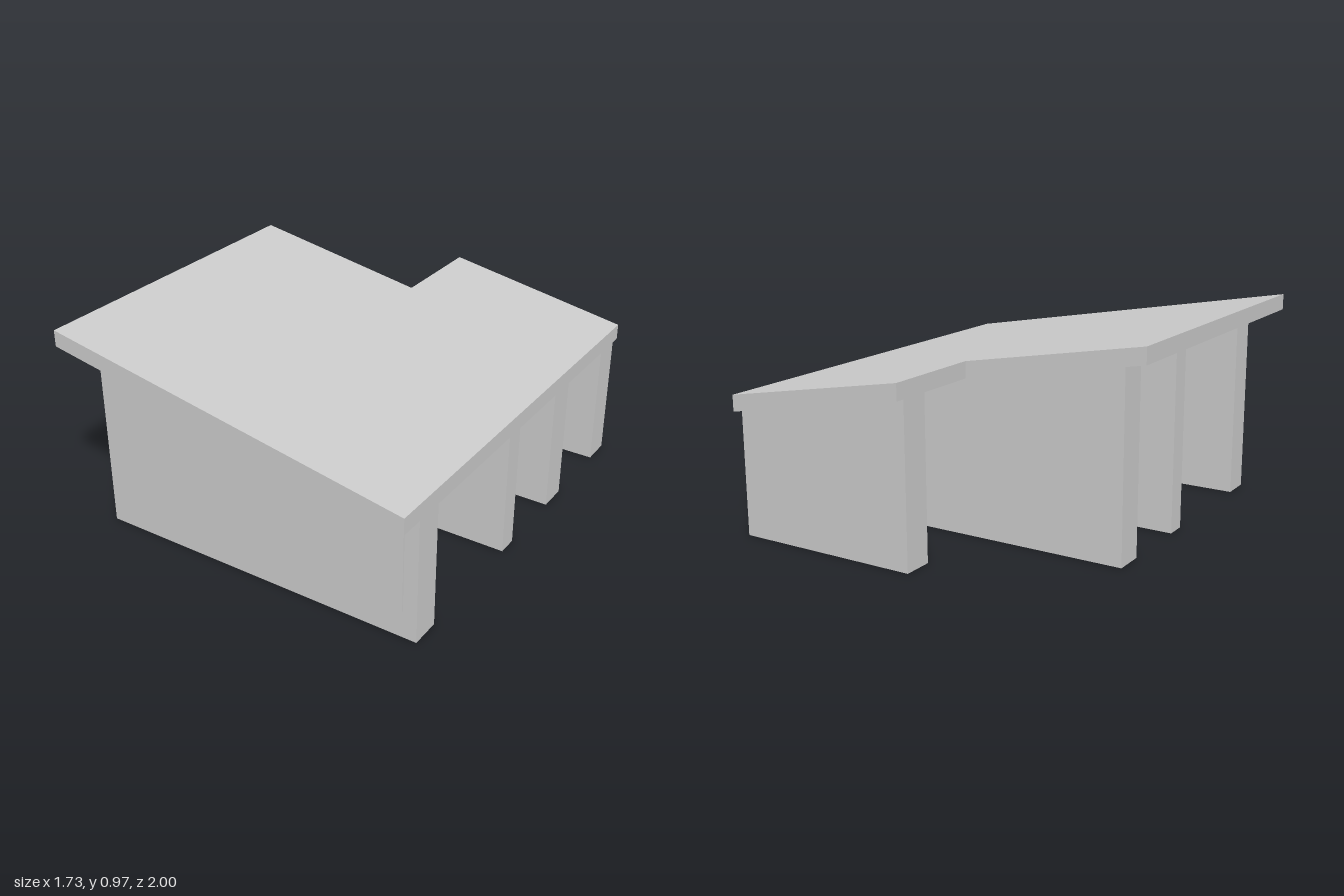
import * as THREE from 'three';

const material = new THREE.MeshStandardMaterial({ color: 0xcccccc, flatShading: true, side: THREE.DoubleSide });

const EDGE = 0.865;      // half width of the roof
const THICK = 0.075;     // vertical thickness of the roof
const roofTop = (x) => 0.81 - 0.1792 * x;
const roofUnder = (x) => roofTop(x) - THICK;

function addMesh(group, geometry, name) {
  const mesh = new THREE.Mesh(geometry, material);
  mesh.name = name;
  group.add(mesh);
}

// L-shaped slab, sheared so that it falls towards +x
function roofGeometry() {
  const shape = new THREE.Shape([
    [-EDGE, -1], [EDGE, -1], [EDGE, 1], [-0.02, 1], [-0.02, 0.52], [-EDGE, 0.52],
  ].map(([x, y]) => new THREE.Vector2(x, y)));
  const geometry = new THREE.ExtrudeGeometry(shape, { depth: THICK, bevelEnabled: false });
  geometry.rotateX(-Math.PI / 2);
  const p = geometry.attributes.position;
  for (let i = 0; i < p.count; i++) p.setY(i, p.getY(i) + roofUnder(p.getX(i)));
  geometry.computeVertexNormals();
  return geometry;
}

// Hollow wall, open below, with its top edge following the roof underside
function wallGeometry(x0, x1, z0, z1) {
  const geometry = new THREE.BoxGeometry(x1 - x0, 1, z1 - z0);
  geometry.translate((x0 + x1) / 2, 0.5, (z0 + z1) / 2);
  const p = geometry.attributes.position;
  for (let i = 0; i < p.count; i++) p.setY(i, p.getY(i) * roofUnder(p.getX(i)));
  // keep the four sides, drop the top and bottom faces
  const index = Array.from(geometry.index.array);
  geometry.setIndex([...index.slice(0, 12), ...index.slice(24)]);
  geometry.clearGroups();
  geometry.computeVertexNormals();
  return geometry;
}

export function createModel() {
  const model = new THREE.Group();
  model.name = 'shelter';

  addMesh(model, roofGeometry(), 'roof');

  // Parallel walls from front to back; the last one sits under the narrow part
  const walls = [
    ['frontWall', -0.735, 0.745, 0.885],
    ['middleWall', -0.735, 0.05, 0.145],
    ['rearWall', -0.735, -0.44, -0.3],
    ['backWall', -0.015, -0.95, -0.81],
  ];
  for (const [name, x0, z0, z1] of walls) addMesh(model, wallGeometry(x0, EDGE, z0, z1), name);

  // Thin strip on the face of the front wall
  const strip = new THREE.BoxGeometry(0.014, 0.46, 0.006);
  strip.translate(0.793, 0.36, 0.888);
  addMesh(model, strip, 'wallStrip');

  return model;
}
